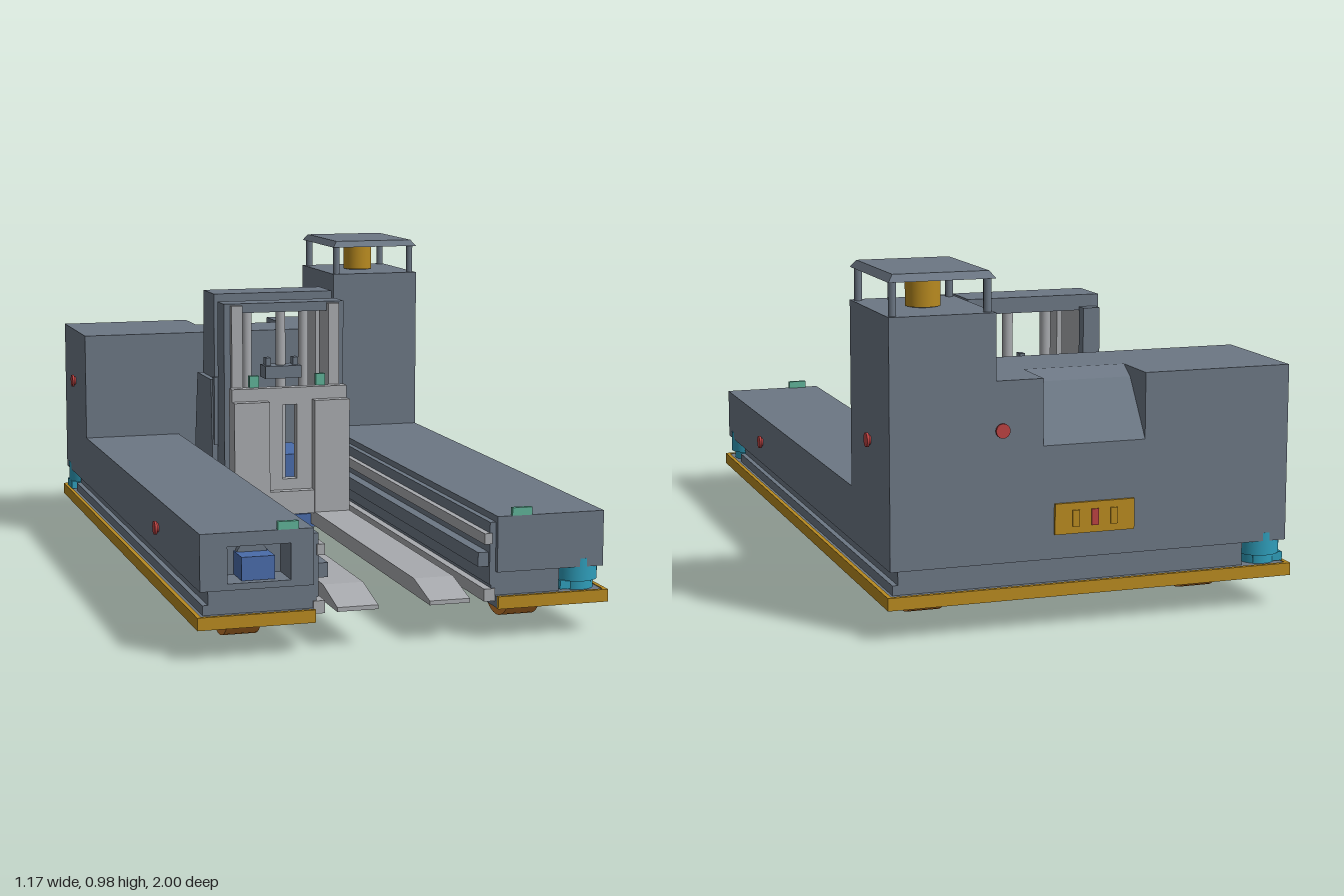
import * as THREE from 'three';

const mat = (name, color, extra = {}) => {
  const m = new THREE.MeshStandardMaterial({ color, ...extra });
  m.name = name;
  return m;
};

export function createModel() {
  const root = new THREE.Group();
  root.name = 'forkliftRobot';
  const slate = mat('slate', 0x6c7784), light = mat('lightGrey', 0xa8aaae), gold = mat('gold', 0xb88a20);
  const orange = mat('orange', 0xc67a2c), blue = mat('blue', 0x4a6caa), cyan = mat('cyan', 0x2f9ebb);
  const teal = mat('teal', 0x5fb298), red = mat('red', 0xbb4242);

  const add = (name, geo, m, x = 0, y = 0, z = 0) => {
    const mesh = new THREE.Mesh(geo, m);
    mesh.name = name;
    mesh.position.set(x, y, z);
    root.add(mesh);
    return mesh;
  };
  // box given by its limits
  const box = (name, m, x0, x1, y0, y1, z0, z1) =>
    add(name, new THREE.BoxGeometry(x1 - x0, y1 - y0, z1 - z0), m, (x0 + x1) / 2, (y0 + y1) / 2, (z0 + z1) / 2);
  const cyl = (name, m, r, h, x, y, z, axis = 'y', sides = 24) => {
    const g = new THREE.CylinderGeometry(r, r, h, sides);
    if (axis === 'x') g.rotateZ(Math.PI / 2);
    if (axis === 'z') g.rotateX(Math.PI / 2);
    return add(name, g, m, x, y, z);
  };
  const shapeOf = pts => new THREE.Shape(pts.map(p => new THREE.Vector2(...p)));
  const extrude = (shape, depth) => new THREE.ExtrudeGeometry(shape, { depth, bevelEnabled: false, curveSegments: 20 });
  // plan outline in [x, z], raised from y0 to y1
  const slab = (name, m, pts, y0, y1, holes = []) => {
    const s = shapeOf(pts.map(([x, z]) => [x, -z]));
    for (const [x, z, r] of holes) s.holes.push(new THREE.Path().absarc(x, -z, r, 0, Math.PI * 2, true));
    return add(name, extrude(s, y1 - y0).rotateX(-Math.PI / 2), m, 0, y0, 0);
  };
  // side outline in [z, y], spread from x0 to x1
  const sideProfile = (name, m, pts, x0, x1) =>
    add(name, extrude(shapeOf(pts.map(([z, y]) => [-z, y])), x1 - x0).rotateY(Math.PI / 2), m, x0, 0, 0);

  // base plate with wheel openings, and stepped chassis with scanner corners cut away
  const wheels = [[0.41, 0.72], [-0.41, 0.72], [0.41, -0.705], [-0.41, -0.705]];
  slab('basePlate', slate, [[-0.575, -0.99], [0.575, -0.99], [0.575, 0.99], [0.26, 0.99], [0.26, -0.61],
    [-0.26, -0.61], [-0.26, 0.99], [-0.575, 0.99]], 0.088, 0.12, wheels.map(([x, z]) => [x, z, 0.125]));
  const chassis = (name, e, y0, y1) => slab(name, slate, [[-e, -0.86], [-0.45, -0.86], [-0.45, -0.97], [e, -0.97],
    [e, 0.85], [0.45, 0.85], [0.45, 0.97], [0.25, 0.97], [0.25, -0.61], [-0.25, -0.61], [-0.25, 0.97], [-e, 0.97]], y0, y1);
  chassis('lowerChassis', 0.565, 0.12, 0.147);
  chassis('upperChassis', 0.55, 0.147, 0.187);

  // gold bumper
  for (const s of [-1, 1]) {
    box('sideBumper', gold, s * 0.58 - 0.006, s * 0.58 + 0.006, 0.087, 0.122, -1, 1);
    box('frontBumper', gold, s * 0.4225 - 0.1625, s * 0.4225 + 0.1625, 0.087, 0.122, 0.988, 1);
  }
  box('rearBumper', gold, -0.586, 0.586, 0.087, 0.122, -1, -0.988);

  // wheels
  for (const [x, z] of wheels) {
    cyl('tyre', orange, 0.116, 0.096, x, 0.116, z, 'x', 40);
    cyl('hub', blue, 0.062, 0.1, x, 0.116, z, 'x');
  }
  cyl('underSensor', light, 0.035, 0.006, -0.01, 0.087, -0.72);

  // arms; the right one has a recess at its front
  box('leftArm', slate, 0.262, 0.575, 0.187, 0.343, -0.61, 0.985);
  box('rightArm', slate, -0.575, -0.262, 0.187, 0.343, -0.61, 0.88);
  const cap = shapeOf([[-0.575, 0.187], [-0.262, 0.187], [-0.262, 0.343], [-0.575, 0.343]]);
  cap.holes.push(new THREE.Path([[-0.5, 0.205], [-0.5, 0.305], [-0.325, 0.305], [-0.325, 0.205]].map(p => new THREE.Vector2(...p))));
  add('rightArmFront', extrude(cap, 0.105), slate, 0, 0, 0.88);
  box('frontSensor', blue, -0.456, -0.364, 0.206, 0.27, 0.88, 0.965);
  cyl('frontSensorMount', slate, 0.045, 0.02, -0.41, 0.255, 0.89, 'z');

  // inner rails and front lights on each arm
  for (const s of [-1, 1]) {
    const rail = (name, m, a, b, y0, y1, z1) => box(name, m, Math.min(s * a, s * b), Math.max(s * a, s * b), y0, y1, -0.61, z1);
    rail('railBacking', slate, 0.245, 0.265, 0.15, 0.325, 0.97);
    rail('upperRail', light, 0.228, 0.25, 0.265, 0.295, 0.975);
    rail('middleRail', slate, 0.215, 0.25, 0.2, 0.24, 0.96);
    rail('lowerRail', light, 0.228, 0.26, 0.105, 0.14, 0.975);
    box('frontLight', teal, s * 0.333 - 0.029, s * 0.333 + 0.029, 0.343, 0.365, 0.972, 0.986);
  }

  // rear body with sloped recess, and the tower
  box('rearBodyRight', slate, -0.575, -0.147, 0.187, 0.683, -0.985, -0.61);
  box('rearBodyLeft', slate, 0.147, 0.575, 0.187, 0.683, -0.985, -0.61);
  sideProfile('rearBodyMiddle', slate, [[-0.61, 0.187], [-0.61, 0.683], [-0.83, 0.683], [-0.875, 0.655], [-0.985, 0.5], [-0.985, 0.187]], -0.147, 0.147);
  box('tower', slate, 0.28, 0.575, 0.683, 0.865, -0.985, -0.61);

  // tower roof, posts and lidar
  const roof = new THREE.BoxGeometry(0.294, 0.02, 0.372);
  const p = roof.attributes.position;
  for (let i = 0; i < p.count; i++) if (p.getY(i) > 0) p.setXYZ(i, p.getX(i) * 0.9, p.getY(i), p.getZ(i) * 0.92);
  roof.computeVertexNormals();
  add('towerRoof', roof, slate, 0.427, 0.965, -0.797);
  for (const x of [0.297, 0.558]) for (const z of [-0.635, -0.96]) cyl('roofPost', slate, 0.011, 0.1, x, 0.91, z, 'y', 12);
  cyl('lidar', gold, 0.048, 0.078, 0.424, 0.906, -0.797, 'y', 32);
  cyl('lidarBase', slate, 0.04, 0.012, 0.424, 0.868, -0.797);

  // safety scanners
  for (const [x, z] of [[0.517, 0.925], [-0.517, -0.925]]) {
    cyl('scannerBase', cyan, 0.05, 0.03, x, 0.135, z);
    cyl('scannerHead', cyan, 0.061, 0.065, x, 0.178, z, 'y', 32);
    box('scannerBracket', cyan, x - 0.06, x + 0.03, 0.122, 0.147, z - 0.04, z + 0.04);
  }

  // stop buttons
  const button = (x, y, z, axis) => {
    cyl('buttonCollar', red, 0.013, 0.016, x, y, z, axis, 16);
    const o = axis === 'x' ? [Math.sign(x) * 0.009, 0] : [0, -0.009];
    cyl('stopButton', red, 0.02, 0.007, x + o[0], y, z + o[1], axis, 16);
  };
  for (const s of [-1, 1]) {
    button(s * 0.575, 0.51, -0.8, 'x');
    button(s * 0.575, 0.26, 0.48, 'x');
  }
  button(0.265, 0.55, -0.987, 'z');

  // rear contact plate
  box('rearPlate', gold, -0.115, 0.115, 0.255, 0.34, -0.993, -0.985);
  for (const x of [-0.055, 0, 0.055]) box('rearContact', x ? gold : red, x - 0.01, x + 0.01, 0.275, 0.32, -0.997, -0.992);

  // mast: outer frame, inner frame, rails
  for (const s of [-1, 1]) {
    const plate = (name, m, a, b, pts) => sideProfile(name, m, pts, Math.min(s * a, s * b), Math.max(s * a, s * b));
    plate('outerMastSide', slate, 0.178, 0.198, [[-0.365, 0.1], [-0.365, 0.835], [-0.505, 0.835], [-0.52, 0.56], [-0.52, 0.1]]);
    plate('mastBrace', slate, 0.198, 0.215, [[-0.33, 0.09], [-0.33, 0.345], [-0.345, 0.56], [-0.53, 0.56], [-0.565, 0.345], [-0.565, 0.09]]);
    box('outerMastRearPost', slate, s * 0.165 - 0.025, s * 0.165 + 0.025, 0.1, 0.8, -0.54, -0.505);
    box('innerMastSide', slate, s * 0.188 - 0.01, s * 0.188 + 0.01, 0.1, 0.815, -0.32, -0.235);
    box('outerRail', light, s * 0.16 - 0.018, s * 0.16 + 0.018, 0.09, 0.81, -0.5, -0.36);
    box('innerRail', light, s * 0.16 - 0.018, s * 0.16 + 0.018, 0.09, 0.81, -0.32, -0.215);
    box('mastGuide', slate, s * 0.195 - 0.015, s * 0.195 + 0.015, 0.35, 0.57, -0.345, -0.32);
    box('mastBracket', slate, s * 0.235 - 0.03, s * 0.235 + 0.03, 0.12, 0.3, -0.61, -0.52);
    cyl('sideCylinder', light, 0.016, 0.7, s * 0.095, 0.45, -0.345, 'y', 16);
    box('carriageLight', teal, s * 0.11 - 0.015, s * 0.11 + 0.015, 0.55, 0.587, -0.215, -0.195);
  }
  box('outerMastTop', slate, -0.198, 0.198, 0.79, 0.835, -0.505, -0.365);
  box('innerMastTop', slate, -0.198, 0.198, 0.785, 0.815, -0.32, -0.235);
  box('mastFoot', slate, -0.198, 0.198, 0.09, 0.12, -0.52, -0.235);
  box('mastRearFoot', light, -0.198, 0.198, 0.1, 0.14, -0.565, -0.52);
  cyl('centreCylinder', light, 0.016, 0.7, 0, 0.45, -0.28, 'y', 16);
  box('chainYoke', slate, -0.06, 0.06, 0.57, 0.61, -0.31, -0.24);
  for (const x of [-0.045, 0.045]) box('chainAnchor', slate, x - 0.008, x + 0.008, 0.6, 0.635, -0.29, -0.26);
  box('driveUnit', blue, -0.13, 0.125, 0.092, 0.3, -0.585, -0.36);
  box('driveFoot', blue, -0.13, 0.13, 0.092, 0.135, -0.36, -0.18);

  // fork carriage with a centre slot
  const face = shapeOf([[-0.19, 0.14], [0.19, 0.14], [0.19, 0.55], [-0.19, 0.55]]);
  face.holes.push(new THREE.Path([[-0.024, 0.255], [-0.024, 0.495], [0.024, 0.495], [0.024, 0.255]].map(v => new THREE.Vector2(...v))));
  add('carriageFace', extrude(face, 0.035), light, 0, 0, -0.205);
  box('carriageBar', light, -0.19, 0.19, 0.145, 0.22, -0.17, -0.14);

  // forks with tapered tips
  for (const s of [-1, 1]) {
    const c = s * 0.132;
    box('forkShank', light, c - 0.058, c + 0.058, 0.11, 0.51, -0.17, -0.137);
    sideProfile('fork', light, [[-0.19, 0.103], [-0.19, 0.148], [0.83, 0.148], [0.965, 0.115], [0.965, 0.103]], c - 0.058, c + 0.058);
  }
  return root;
}
